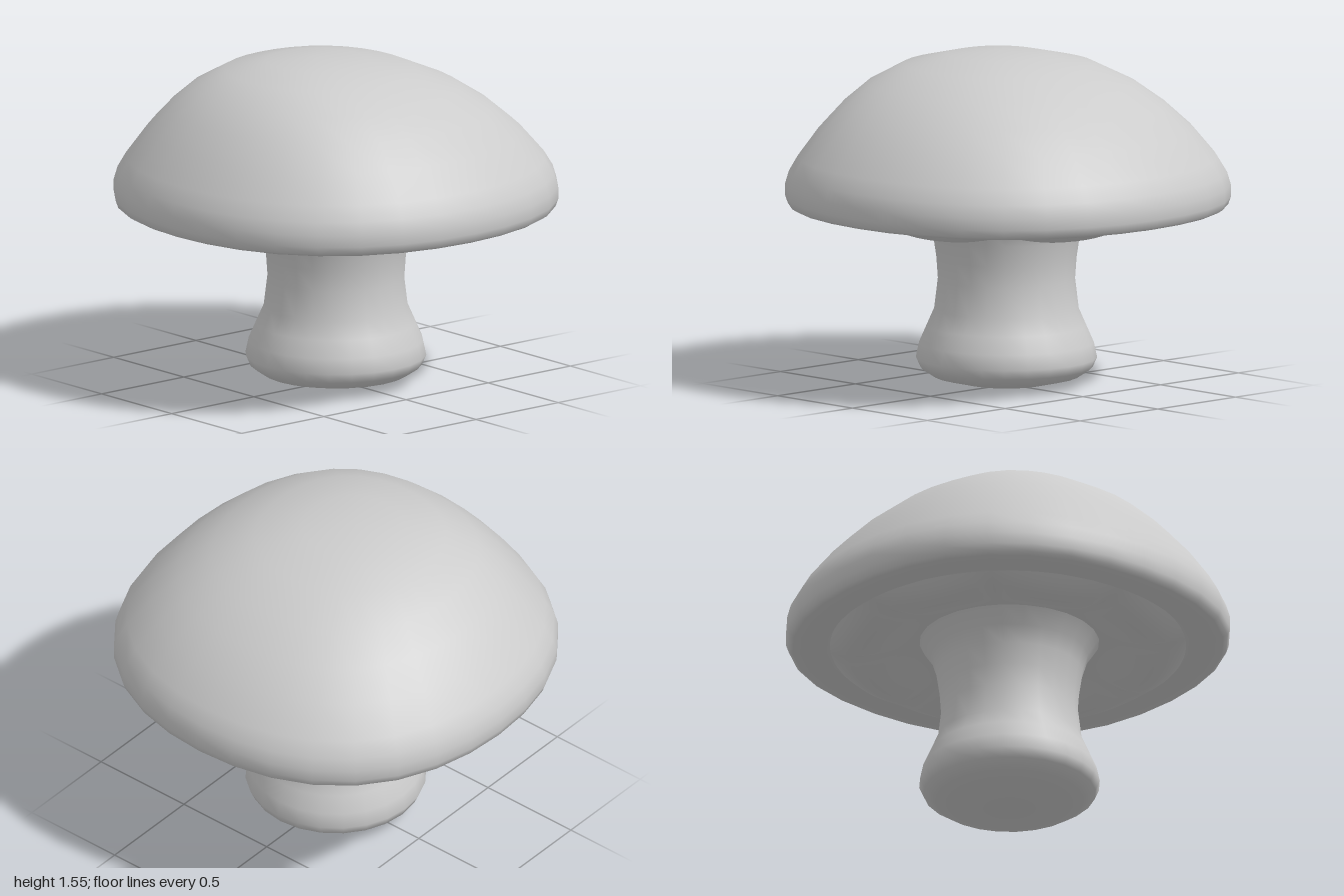
import * as THREE from 'three';
import { mergeVertices } from 'three/addons/utils/BufferGeometryUtils.js';

const material = new THREE.MeshStandardMaterial({ color: 0xcccccc, side: THREE.DoubleSide });

// Lathe a [radius, height] profile, move its vertices by a rule, then smooth it without a seam
function turned(name, profile, segments, rule) {
  const lathe = new THREE.LatheGeometry(profile.map(([r, y]) => new THREE.Vector2(r, y)), segments);
  lathe.deleteAttribute('normal');
  lathe.deleteAttribute('uv');
  const geometry = mergeVertices(lathe, 1e-4);
  const pos = geometry.attributes.position;
  const v = new THREE.Vector3();
  for (let i = 0; i < pos.count; i++) {
    v.fromBufferAttribute(pos, i);
    rule(v, Math.hypot(v.x, v.z), Math.atan2(v.z, v.x));
    pos.setXYZ(i, v.x, v.y, v.z);
  }
  geometry.computeVertexNormals();
  const mesh = new THREE.Mesh(geometry, material);
  mesh.name = name;
  return mesh;
}

export function createModel() {
  const group = new THREE.Group();
  group.name = 'mushroom';

  // Cap: rolled rim and a slightly squared dome whose peak leans to the front
  const cap = turned('cap', [
    [0.78, 0.845], [0.82, 0.835], [0.9, 0.835], [0.965, 0.837], [0.985, 0.85], [0.997, 0.885],
    [0.997, 0.94], [0.98, 1.0], [0.94, 1.07], [0.84, 1.2], [0.73, 1.31],
    [0.6, 1.41], [0.43, 1.495], [0.23, 1.538], [0, 1.555],
  ], 32, (v, r, a) => {
    const square = 1 + 0.018 * (1 - Math.cos(4 * a));
    const t = Math.max(0, (v.y - 1) / 0.555);
    v.x = v.x * square - 0.03 * t ** 4;
    v.z = v.z * square + 0.1 * t ** 2;
  });

  // Gills: eight hanging lobes parted by sharp radial creases
  const gills = turned('gills', [
    [0.34, 0.87], [0.42, 0.855], [0.5, 0.84], [0.56, 0.828], [0.62, 0.82], [0.68, 0.817],
    [0.74, 0.818], [0.79, 0.825], [0.825, 0.838],
  ], 96, (v, r, a) => {
    const radial = Math.sin(Math.PI * THREE.MathUtils.clamp((r - 0.42) / 0.405, 0, 1) ** 1.5);
    v.y -= 0.05 * radial * Math.abs(Math.sin(4 * a)) ** 0.6;
  });

  // Stem: waisted, with a bulging rounded foot
  const stem = turned('stem', [
    [0, 0], [0.2, 0.012], [0.34, 0.045], [0.4, 0.085], [0.42, 0.13], [0.405, 0.2],
    [0.37, 0.28], [0.335, 0.36], [0.318, 0.5], [0.325, 0.6], [0.34, 0.7], [0.365, 0.78], [0.42, 0.86],
  ], 24, (v) => { v.x += 0.005; v.z += 0.005; });

  group.add(cap, gills, stem);
  return group;
}
